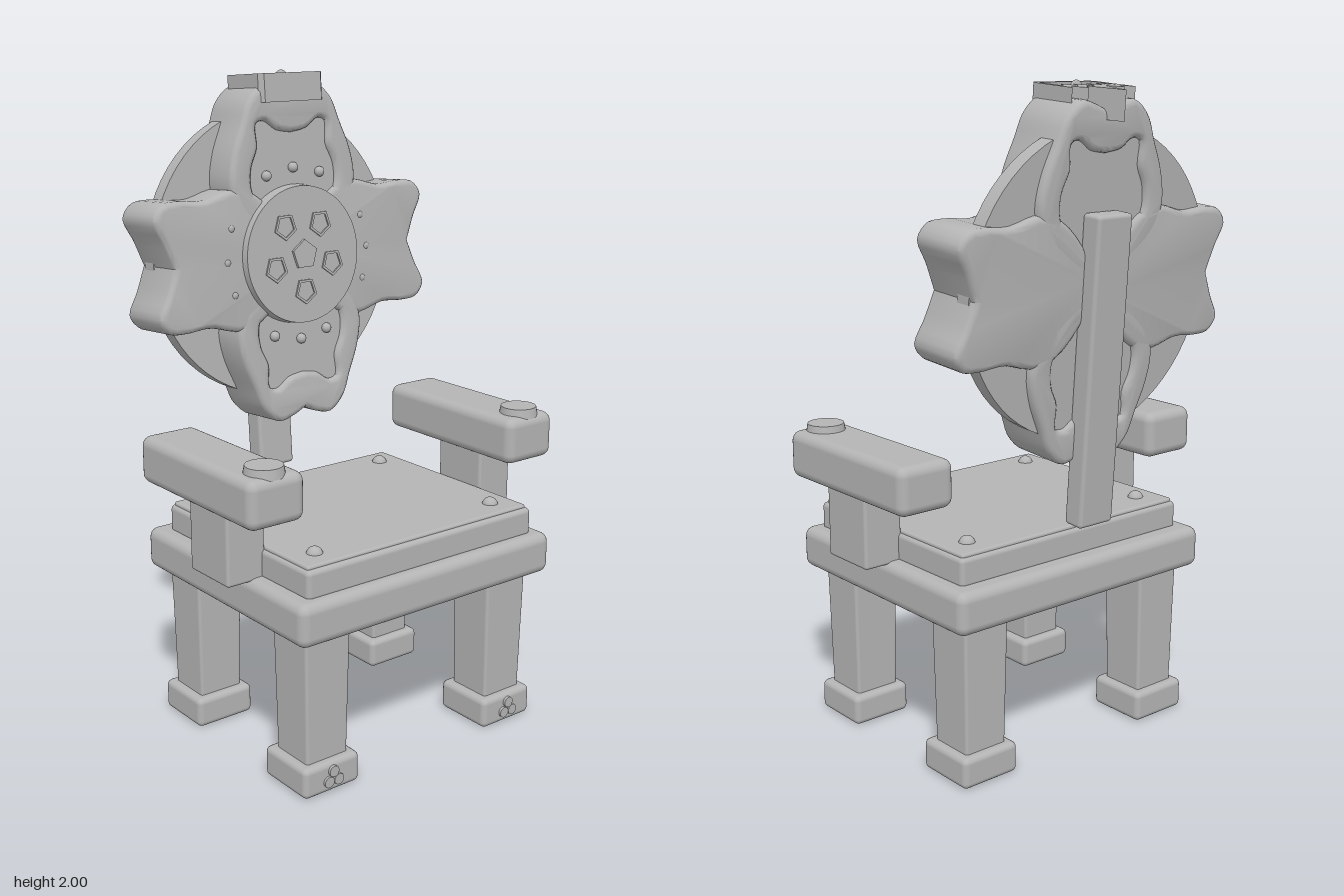
import * as THREE from 'three';
import { toCreasedNormals } from 'three/addons/utils/BufferGeometryUtils.js';
import { RoundedBoxGeometry } from 'three/addons/geometries/RoundedBoxGeometry.js';

const grey = new THREE.MeshStandardMaterial({ color: 0xb4b4b4 });
grey.name = 'stone grey';

function add(parent, name, geo, x = 0, y = 0, z = 0) {
  const mesh = new THREE.Mesh(geo, grey);
  mesh.name = name;
  mesh.position.set(x, y, z);
  parent.add(mesh);
  return mesh;
}

// Rounded box given by its extents
function block(parent, name, [x0, x1], [y0, y1], [z0, z1], r = 0.015) {
  const geo = new RoundedBoxGeometry(x1 - x0, y1 - y0, z1 - z0, 3, r);
  return add(parent, name, geo, (x0 + x1) / 2, (y0 + y1) / 2, (z0 + z1) / 2);
}

// Extrusion from z0 to z1 with an inward bevel
function slab(shape, z0, z1, bevel = 0, segments = 3) {
  const geo = new THREE.ExtrudeGeometry(shape, {
    depth: z1 - z0 - 2 * bevel, bevelEnabled: bevel > 0, bevelSize: bevel,
    bevelThickness: bevel, bevelOffset: -bevel, bevelSegments: segments, curveSegments: 8,
  });
  geo.translate(0, 0, z0 + bevel);
  return toCreasedNormals(geo, 0.6);
}

// Mirror a half outline that starts and ends on x = 0
function mirrored(half) {
  const pts = half.map(([x, y]) => new THREE.Vector2(x, y));
  const back = pts.slice(1, -1).reverse().map((p) => new THREE.Vector2(-p.x, p.y));
  return pts.concat(back);
}

// Smooth closed outline, with sharp corners at base and notch
function smoothOutline(half) {
  const curve = new THREE.CatmullRomCurve3(half.map(([x, y]) => new THREE.Vector3(x, y, 0)), false, 'centripetal');
  return mirrored(curve.getPoints(32).map((p) => [p.x, p.y]));
}

function polygon(n, r) {
  return Array.from({ length: n }, (_, i) => {
    const a = Math.PI / 2 + (i * 2 * Math.PI) / n;
    return new THREE.Vector2(r * Math.cos(a), r * Math.sin(a));
  });
}

// Heart-shaped petal: raised rim, recessed panel and three studs
function makePetal(name, outer, inner) {
  const petal = new THREE.Group();
  petal.name = name;
  const outline = smoothOutline(outer);
  const rim = new THREE.Shape(outline);
  rim.holes.push(new THREE.Path(smoothOutline(inner)));
  add(petal, 'petalRim', slab(rim, -0.097, 0.1, 0.018));
  const panel = outline.map((p) => new THREE.Vector2(p.x * 0.85, 0.03 + p.y * 0.88));
  add(petal, 'petalPanel', slab(new THREE.Shape(panel), -0.08, 0.083));
  for (const [x, y] of [[-0.1, 0.245], [0, 0.265], [0.1, 0.245]]) {
    add(petal, 'petalStud', new THREE.SphereGeometry(0.016, 14, 10), x, y, 0.088);
  }
  return petal;
}

export function createModel() {
  const model = new THREE.Group();
  model.name = 'flowerThrone';

  // Seat
  block(model, 'seatBase', [-0.48, 0.48], [0.49, 0.62], [-0.35, 0.465], 0.03);
  block(model, 'seatCushion', [-0.43, 0.43], [0.61, 0.7], [-0.29, 0.425], 0.015);
  block(model, 'seatPanel', [-0.42, 0.42], [0.68, 0.71], [-0.28, 0.41], 0.008);

  for (const s of [-1, 1]) {
    for (const [z, front] of [[0.33, true], [-0.22, false]]) {
      // Tapered leg
      const legGeo = new RoundedBoxGeometry(0.16, 0.41, 0.16, 2, 0.01);
      const p = legGeo.attributes.position;
      for (let i = 0; i < p.count; i++) {
        const k = 0.91 + 0.22 * p.getY(i);
        p.setX(i, p.getX(i) * (k + 0.045));
        p.setZ(i, p.getZ(i) * (k + 0.045));
      }
      add(model, 'leg', legGeo, s * 0.348, 0.29, z);
      block(model, 'foot', [s * 0.348 - 0.1, s * 0.348 + 0.1], [0.005, 0.1], [z - 0.1, z + 0.1], 0.018);
      // Three-lobed ornament on the front feet
      if (front) {
        for (const c of polygon(3, 0.02)) {
          const lobe = add(model, 'footOrnament', new THREE.CylinderGeometry(0.017, 0.017, 0.012, 16),
            s * 0.348 + c.x, 0.052 + c.y, z + 0.102);
          lobe.rotation.x = Math.PI / 2;
        }
      }
      add(model, 'seatStud', new THREE.SphereGeometry(0.025, 16, 12), s * 0.34, 0.705, front ? 0.335 : -0.2);
    }
    // Arms
    const post = [s * 0.483 - 0.065, s * 0.483 + 0.065];
    block(model, 'armPost', post, [0.61, 0.85], [0.012, 0.205], 0.01);
    block(model, 'armRest', [s * 0.482 - 0.095, s * 0.482 + 0.095], [0.825, 0.97], [-0.21, 0.365], 0.03);
    add(model, 'armDisc', new THREE.CylinderGeometry(0.055, 0.06, 0.03, 32), s * 0.485, 0.976, 0.3);
  }

  // Leaning backrest
  const back = new THREE.Group();
  back.name = 'backrest';
  back.position.set(0, 1.445, -0.285);
  back.rotation.x = -0.071;
  model.add(back);

  block(back, 'backPole', [-0.065, 0.065], [-0.705, 0.21], [-0.146, -0.076], 0.012);
  const disc = add(back, 'backDisc', new THREE.CylinderGeometry(0.45, 0.45, 0.05, 64), 0, 0, -0.045);
  disc.rotation.x = Math.PI / 2;

  // Petals: upright pair is rounder, side pair has flared lobes
  const uprightOuter = [[0, 0], [0.11, 0.06], [0.205, 0.14], [0.235, 0.22], [0.222, 0.31],
    [0.185, 0.4], [0.155, 0.47], [0.1, 0.515], [0.045, 0.505], [0, 0.485]];
  const uprightInner = [[0, 0.07], [0.09, 0.12], [0.155, 0.2], [0.155, 0.27], [0.13, 0.33],
    [0.13, 0.4], [0.1, 0.408], [0.055, 0.38], [0, 0.37]];
  const sideOuter = [[0, 0], [0.11, 0.06], [0.195, 0.15], [0.213, 0.23], [0.19, 0.33],
    [0.195, 0.42], [0.188, 0.475], [0.145, 0.507], [0.075, 0.475], [0, 0.445]];
  const sideInner = [[0, 0.07], [0.08, 0.12], [0.14, 0.2], [0.14, 0.27], [0.135, 0.33],
    [0.158, 0.39], [0.135, 0.412], [0.07, 0.36], [0, 0.335]];
  for (let i = 0; i < 4; i++) {
    const petal = i % 2 ? makePetal('sidePetal', sideOuter, sideInner) : makePetal('uprightPetal', uprightOuter, uprightInner);
    petal.rotation.z = (i * Math.PI) / 2;
    back.add(petal);
  }

  // Flower centre with one solid pentagon and five pentagon rings
  const centre = add(back, 'flowerCentre', new THREE.CylinderGeometry(0.21, 0.217, 0.07, 64), 0, 0, 0.088);
  centre.rotation.x = Math.PI / 2;
  add(back, 'centrePentagon', slab(new THREE.Shape(polygon(5, 0.047)), 0, 0.012), 0, 0, 0.12);
  for (let i = 0; i < 5; i++) {
    const a = -Math.PI / 2 + (i * 2 * Math.PI) / 5;
    const ring = new THREE.Shape(polygon(5, 0.042));
    ring.holes.push(new THREE.Path(polygon(5, 0.033)));
    const mesh = add(back, 'pentagonRing', slab(ring, 0, 0.008), 0.112 * Math.cos(a), 0.112 * Math.sin(a), 0.12);
    mesh.rotation.z = a - Math.PI / 2;
  }

  // Crown lying on its back, spikes pointing to the rear
  const crown = new THREE.Group();
  crown.name = 'crown';
  crown.position.set(0, 0.462, 0);
  crown.rotation.x = -Math.PI / 2;
  back.add(crown);
  const crownOuter = mirrored([[0, -0.11], [0.105, -0.11], [0.118, -0.095], [0.118, 0.065], [0.09, 0.03],
    [0.068, 0.075], [0.035, 0.03], [0, 0.15]]);
  const crownInner = mirrored([[0, -0.095], [0.098, -0.095], [0.1, 0.01], [0.066, -0.04], [0.05, 0.012],
    [0.024, -0.035], [0, 0.03]]);
  const crownRim = new THREE.Shape(crownOuter);
  crownRim.holes.push(new THREE.Path(crownInner));
  add(crown, 'crownRim', slab(crownRim, 0, 0.085));
  add(crown, 'crownPanel', slab(new THREE.Shape(crownInner), 0.003, 0.07));
  const gem = add(crown, 'crownGem', new THREE.SphereGeometry(0.022, 16, 12), 0, -0.05, 0.075);
  gem.scale.set(1, 0.4, 0.9);

  return model;
}
